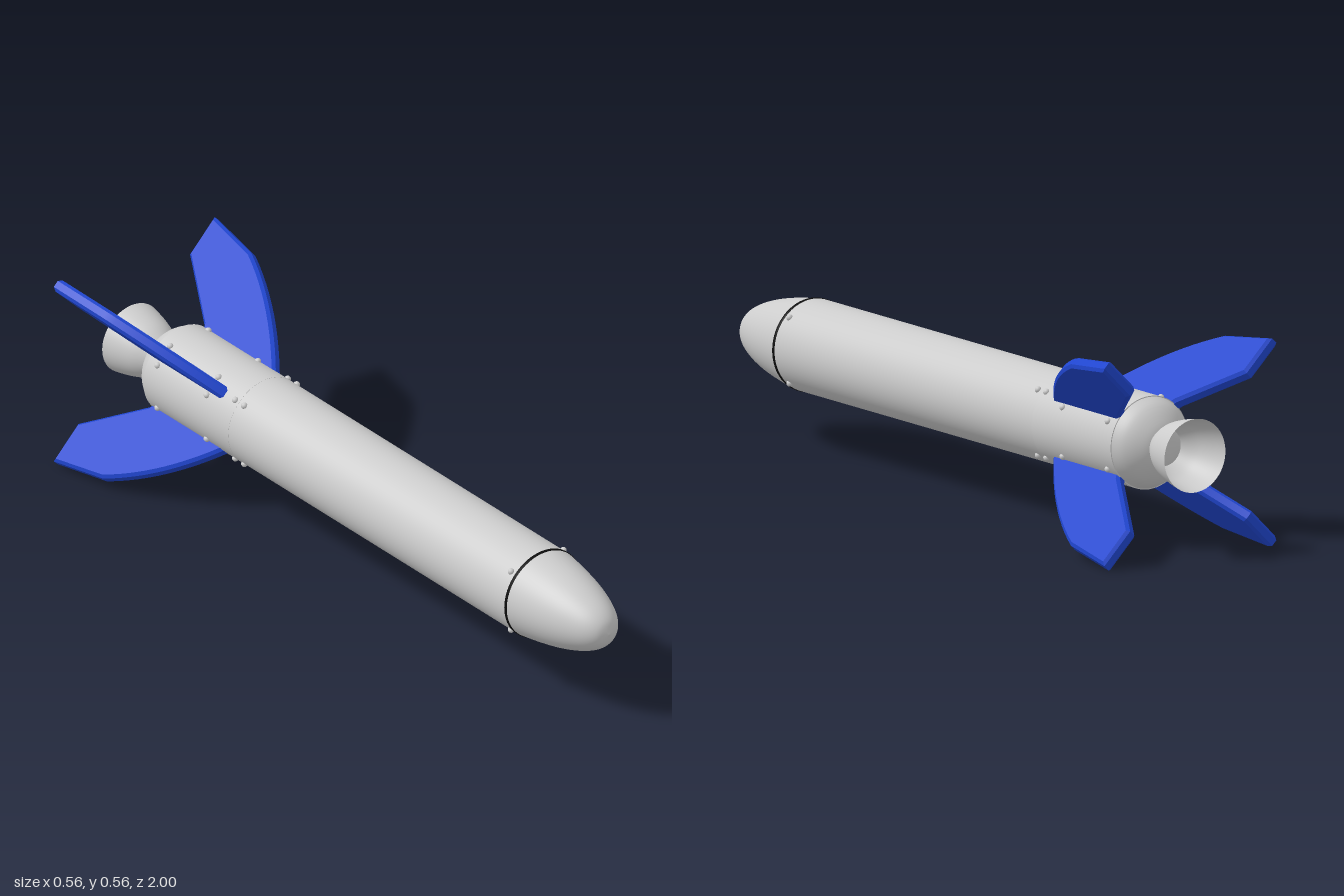
import * as THREE from 'three';
import { toCreasedNormals } from 'three/addons/utils/BufferGeometryUtils.js';

const AXIS_Y = 0.281;
const RADIUS = 0.125;

export function createModel() {
  const shellGrey = new THREE.MeshStandardMaterial({ color: 0xcccccc });
  shellGrey.name = 'shell grey';
  const nozzleGrey = new THREE.MeshStandardMaterial({ color: 0xcccccc, side: THREE.DoubleSide });
  nozzleGrey.name = 'nozzle grey';
  const finBlue = new THREE.MeshStandardMaterial({ color: 0x2046d0 });
  finBlue.name = 'fin blue';
  const seamBlack = new THREE.MeshStandardMaterial({ color: 0x0c0c0c });
  seamBlack.name = 'seam black';

  const model = new THREE.Group();
  model.name = 'rocket';
  model.position.y = AXIS_Y;
  const root = new THREE.Group();
  root.add(model);

  const add = (name, geometry, material, parent = model) => {
    const mesh = new THREE.Mesh(geometry, material);
    mesh.name = name;
    parent.add(mesh);
    return mesh;
  };

  // Solid of revolution about the z axis; points are [radius, z], back to front
  const turned = (points) =>
    new THREE.LatheGeometry(points.map(([r, z]) => new THREE.Vector2(r, z)), 64).rotateX(Math.PI / 2);
  const smooth = (points, steps) =>
    new THREE.SplineCurve(points.map(([r, z]) => new THREE.Vector2(r, z)))
      .getPoints(steps).map((p) => [Math.max(p.x, 0), p.y]);

  // Hull
  add('noseCone', turned(smooth([
    [RADIUS, 0.72], [0.115, 0.785], [0.102, 0.85], [0.084, 0.91], [0.061, 0.96], [0.034, 0.989], [0, 1],
  ], 36)), shellGrey);
  add('noseSeam', turned([[RADIUS, 0.715], [0.1262, 0.716], [0.1262, 0.724], [0.12, 0.725]]), seamBlack);
  add('bodyTube', turned([[RADIUS, -0.44], [RADIUS, 0.72]]), shellGrey);
  add('tailTube', toCreasedNormals(
    turned([[0.12, -0.795], [0.1255, -0.795], [0.1255, -0.44], [0.12, -0.44]]), 0.6), shellGrey);
  add('tailDome', turned(smooth([
    [0, -0.872], [0.045, -0.868], [0.08, -0.85], [0.107, -0.825], [0.123, -0.795],
  ], 20)), shellGrey);

  // Engine bell, open at the back
  add('nozzle', turned(smooth([
    [0.099, -1], [0.09, -0.955], [0.074, -0.905], [0.048, -0.862],
  ], 16)), nozzleGrey);

  // Fin outline: x is the distance from the axis, y is the position along z
  const outline = new THREE.Shape();
  outline.moveTo(0.1, -0.475);
  outline.quadraticCurveTo(0.27, -0.62, 0.355, -0.8);
  outline.lineTo(0.385, -0.98);
  outline.lineTo(0.267, -0.98);
  outline.lineTo(0.13, -0.8);
  outline.lineTo(0.1, -0.78);
  outline.closePath();
  const bevel = 0.008;
  const finGeometry = toCreasedNormals(
    new THREE.ExtrudeGeometry(outline, {
      depth: 0.019, curveSegments: 12, bevelEnabled: true, bevelSegments: 1,
      bevelSize: bevel, bevelThickness: bevel, bevelOffset: -bevel,
    }).translate(0, 0, -0.0095).rotateX(Math.PI / 2), 0.4);

  // Rivets as [z, angle from the fin plane in degrees]
  const rivets = [
    [0.698, 0], [-0.418, 0], [-0.456, 0],
    [-0.553, 13], [-0.553, -13], [-0.758, 14], [-0.758, -14],
  ];
  const rivetGeometry = new THREE.SphereGeometry(0.009, 12, 8);

  for (let i = 0; i < 4; i++) {
    const quarter = new THREE.Group();
    quarter.name = 'finAssembly';
    quarter.rotation.z = Math.PI / 4 + (i * Math.PI) / 2;
    add('fin', finGeometry, finBlue, quarter);
    for (const [z, degrees] of rivets) {
      const a = THREE.MathUtils.degToRad(degrees);
      add('rivet', rivetGeometry, shellGrey, quarter)
        .position.set(RADIUS * Math.cos(a), RADIUS * Math.sin(a), z);
    }
    model.add(quarter);
  }

  return root;
}
